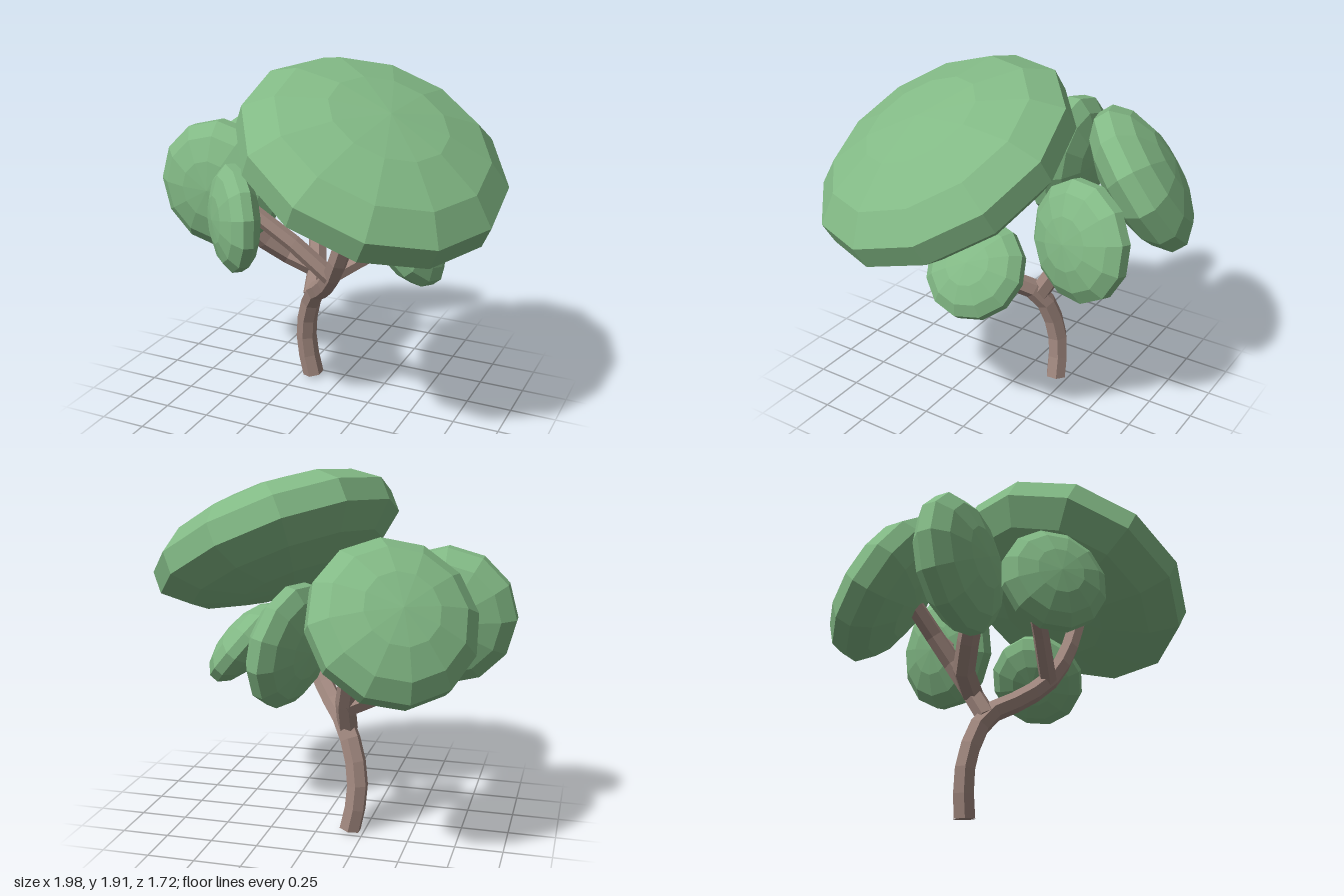
import * as THREE from 'three';

const bark = new THREE.MeshStandardMaterial({ color: 0xa1887f, flatShading: true });
const leaf = new THREE.MeshStandardMaterial({ color: 0x82b985, flatShading: true });
const UP = new THREE.Vector3(0, 1, 0);
const vec = (p) => new THREE.Vector3(...p);

// Tapered faceted limb along a smooth curve, closed at both ends
function limb(name, points, r0, r1, steps) {
  const sides = 6;
  const group = new THREE.Group();
  group.name = name;
  const curve = new THREE.CatmullRomCurve3(points.map(vec));
  const geo = new THREE.TubeGeometry(curve, steps, 1, sides);
  const pos = geo.attributes.position;
  const v = new THREE.Vector3();
  for (let i = 0; i < pos.count; i++) {
    const t = Math.floor(i / (sides + 1)) / steps;
    const c = curve.getPointAt(t);
    v.fromBufferAttribute(pos, i).sub(c).multiplyScalar(r0 + (r1 - r0) * t).add(c);
    pos.setXYZ(i, v.x, v.y, v.z);
  }
  const tube = new THREE.Mesh(geo, bark);
  tube.name = name + 'Wood';
  group.add(tube);

  // End caps: discs facing outward along the curve
  [[0, -1, r0], [1, 1, r1]].forEach(([t, sign, r]) => {
    const cap = new THREE.Mesh(new THREE.CircleGeometry(r, sides), bark);
    cap.name = name + 'Cap';
    cap.position.copy(curve.getPointAt(t));
    const normal = curve.getTangentAt(t).multiplyScalar(sign);
    cap.quaternion.setFromUnitVectors(new THREE.Vector3(0, 0, 1), normal);
    group.add(cap);
  });
  return group;
}

// Flattened faceted ball whose short axis follows the given direction
function canopy(name, center, axis, radius, half, spin = 0) {
  const geo = new THREE.SphereGeometry(1, 12, 7);
  geo.rotateY(spin);
  geo.scale(radius, half, radius);
  const mesh = new THREE.Mesh(geo, leaf);
  mesh.name = name;
  mesh.position.set(...center);
  mesh.quaternion.setFromUnitVectors(UP, vec(axis).normalize());
  return mesh;
}

export function createModel() {
  const tree = new THREE.Group();
  tree.name = 'tree';

  // Trunk sweeping into the main bough
  tree.add(limb('trunk', [
    [-0.175, 0.005, -0.185], [-0.21, 0.2, -0.175], [-0.195, 0.37, -0.15], [-0.125, 0.555, -0.09],
    [0, 0.67, 0.05], [0.1, 0.79, 0.16], [0.18, 0.96, 0.23], [0.29, 1.25, 0.27],
  ], 0.06, 0.05, 12));

  // Side branches
  tree.add(limb('backBranch', [
    [-0.135, 0.55, -0.09], [-0.15, 0.74, -0.2], [-0.21, 0.92, -0.3], [-0.37, 1.14, -0.4],
  ], 0.056, 0.05, 4));
  tree.add(limb('innerBackBranch', [
    [-0.2, 0.9, -0.29], [-0.13, 1.0, -0.35], [-0.03, 1.06, -0.39],
  ], 0.046, 0.042, 2));
  tree.add(limb('sideBranch', [
    [-0.15, 0.69, -0.17], [-0.32, 0.765, -0.13], [-0.42, 0.86, -0.05], [-0.5, 0.97, 0.02],
  ], 0.062, 0.055, 3));
  tree.add(limb('frontBranch', [
    [0.1, 0.78, 0.16], [-0.06, 0.93, 0.2], [-0.32, 1.13, 0.26],
  ], 0.048, 0.043, 2));
  tree.add(limb('outerBranch', [
    [0.1, 0.8, 0.16], [0.22, 0.88, 0.11], [0.35, 0.96, 0.05],
  ], 0.048, 0.043, 2));

  // Foliage pads
  tree.add(canopy('mainCanopy', [0.335, 1.485, 0.19], [0.42, 0.87, 0.25], 0.71, 0.28, -0.15));
  tree.add(canopy('sideCanopy', [-0.64, 1.165, 0.012], [0, 0.03, 1], 0.37, 0.165));
  tree.add(canopy('frontCanopy', [-0.35, 1.125, 0.395], [-0.7, 0.04, 0.7], 0.288, 0.118));
  tree.add(canopy('backCanopy', [-0.46, 1.235, -0.525], [-0.41, 0.55, -0.73], 0.435, 0.2));
  tree.add(canopy('innerBackCanopy', [0.07, 1.07, -0.45], [0.93, 0.17, 0.29], 0.328, 0.13));
  tree.add(canopy('outerCanopy', [0.44, 0.97, -0.06], [0.75, 0.63, -0.05], 0.27, 0.122));
  return tree;
}
